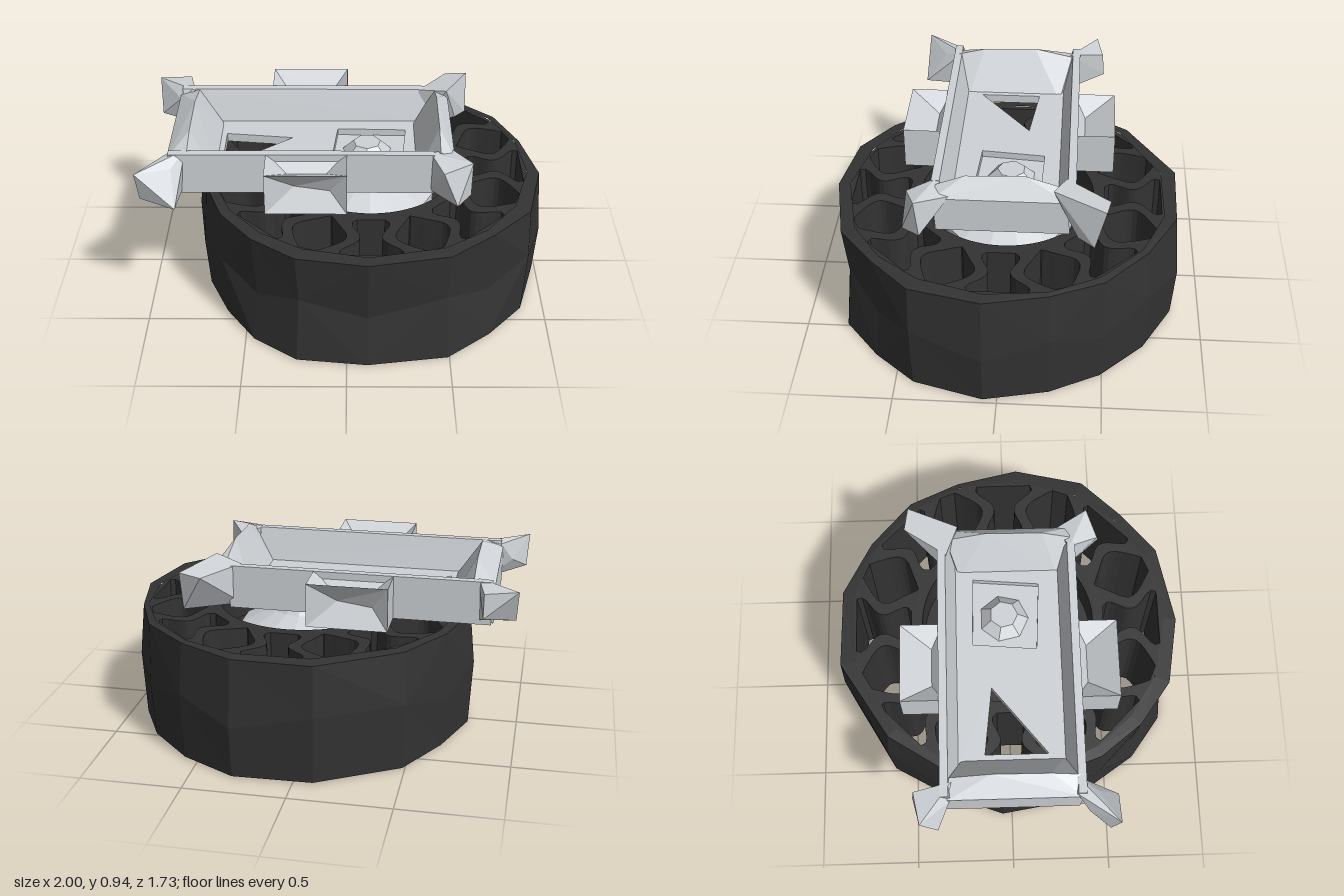
import * as THREE from 'three';
import { ConvexGeometry } from 'three/addons/geometries/ConvexGeometry.js';

const rubber = new THREE.MeshStandardMaterial({ color: 0x333333 });
rubber.name = 'dark rubber';
const metal = new THREE.MeshStandardMaterial({ color: 0xcfd3d7, side: THREE.DoubleSide });
metal.name = 'pale metal';
const CX = 0.115; // wheel centre

function add(parent, name, geo, mat) {
  const m = new THREE.Mesh(geo, mat);
  m.name = name;
  parent.add(m);
  return m;
}

// Faceted solid around a few corner points
const hull = (pts) => new ConvexGeometry(pts.map((p) => new THREE.Vector3(...p)));

// Flat geometry from points and triangles
function facets(pts, tris) {
  const g = new THREE.BufferGeometry();
  g.setAttribute('position', new THREE.Float32BufferAttribute(tris.flat().flatMap((i) => pts[i]), 3));
  g.computeVertexNormals();
  return g;
}

// Extrude a plan (x, z) shape downward from the given top
function slab(shape, top, depth) {
  const g = new THREE.ExtrudeGeometry(shape, { depth, bevelEnabled: false, curveSegments: 48 });
  return g.rotateX(Math.PI / 2).translate(0, top, 0);
}

// Uneven polygonal tyre made of stacked rings
function tyreGeometry() {
  const plan = [[-0.1, -0.86], [0.3, -0.87], [0.58, -0.72], [0.8, -0.5], [0.93, -0.25], [1, 0.07],
    [0.9, 0.42], [0.72, 0.63], [0.5, 0.81], [0.1, 0.87], [-0.25, 0.83], [-0.47, 0.67],
    [-0.62, 0.45], [-0.73, 0.2], [-0.77, -0.05], [-0.66, -0.35], [-0.5, -0.63]];
  const pts = [], tris = [], n = plan.length;
  plan.forEach(([x, z], i) => {
    const dx = x - CX, r = Math.hypot(dx, z), k = 0.8 / r;
    const mid = z > 0.6 ? 0.94 : 1;
    const put = (f, y) => pts.push([CX + dx * f, y, z * f]);
    put(k, 0.015);
    put(0.98, 0.02);
    put(mid, i % 2 ? 0.28 : 0.36);
    put(i % 3 ? 0.97 : 0.99, 0.62);
    put(k, 0.625);
    const a = i * 5, b = ((i + 1) % n) * 5;
    for (let j = 0; j < 4; j++) {
      const p = a + j, q = b + j;
      if ((i + j) % 2) tris.push([p, p + 1, q], [p + 1, q + 1, q]);
      else tris.push([p, p + 1, q + 1], [p, q + 1, q]);
    }
  });
  return facets(pts, tris);
}

// Wavy-spoked core: a ring with sixteen windows
function coreGeometry() {
  const N = 16, r0 = 0.495, r1 = 0.785, half = 0.032;
  const shape = new THREE.Shape().absarc(CX, 0, 0.8, 0, Math.PI * 2, false);
  shape.holes.push(new THREE.Path().absarc(CX, 0, 0.435, 0, Math.PI * 2, true));
  const spokeAngle = (i, t) => -Math.PI / 2 + ((i + 0.5) * 2 * Math.PI) / N
    + (i % 2 ? 1 : -1) * 0.065 * Math.sin(t * Math.PI * 2 - Math.PI / 2);
  for (let i = 0; i < N; i++) {
    const pts = [];
    const side = (k, s, t) => {
      const r = r0 + (r1 - r0) * t;
      const flare = 0.03 * Math.pow(Math.abs(2 * t - 1), 6); // rounded window corners
      const a = spokeAngle(k, t) + (s * (half + flare)) / r;
      pts.push(new THREE.Vector2(CX + r * Math.cos(a), r * Math.sin(a)));
    };
    for (let j = 0; j <= 12; j++) side(i, 1, j / 12);
    for (let j = 12; j >= 0; j--) side(i + 1, -1, j / 12);
    shape.holes.push(new THREE.Path(pts));
  }
  return slab(shape, 0.62, 0.6);
}

// Square side lug with a dented top and outer face
function lugGeometry() {
  const [x0, x1, y0, y1, z0, z1] = [-0.39, 0, 0.68, 0.895, 0.32, 0.53];
  const pts = [[x0, y0, z0], [x1, y0, z0], [x1, y0, z1], [x0, y0, z1],
    [x0, y1, z0], [x1, y1, z0], [x1, y1, z1], [x0, y1, z1],
    [-0.29, 0.81, 0.38], [-0.1, 0.81, 0.38], [-0.25, 0.8, 0.47], [-0.08, 0.78, 0.48]];
  return facets(pts, [[0, 1, 2], [0, 2, 3], [1, 5, 6], [1, 6, 2], [0, 3, 7], [0, 7, 4],
    [7, 8, 4], [8, 9, 4], [9, 5, 4], [9, 6, 5], [7, 6, 8], [6, 9, 8],
    [3, 2, 11], [3, 11, 10], [2, 6, 11], [6, 7, 10], [6, 10, 11], [7, 3, 10]]);
}

export function createModel() {
  const model = new THREE.Group();
  const wheel = new THREE.Group();
  wheel.name = 'wheel';
  const frame = new THREE.Group();
  frame.name = 'frame';
  model.add(wheel, frame);

  // Wheel
  add(wheel, 'tyre', tyreGeometry(), rubber);
  add(wheel, 'spokedCore', coreGeometry(), rubber);
  add(wheel, 'hubPlate', new THREE.CylinderGeometry(0.44, 0.44, 0.3, 32).translate(CX, 0.27, 0), rubber);

  // Mount between hub and frame
  const dish = [[0, 0.42], [0.33, 0.42], [0.33, 0.5], [0.16, 0.58], [0.12, 0.62], [0.2, 0.69], [0, 0.69]];
  const dishGeo = new THREE.LatheGeometry(dish.map((p) => new THREE.Vector2(...p)), 14).toNonIndexed();
  dishGeo.computeVertexNormals();
  add(frame, 'mount', dishGeo.translate(CX, 0, 0), metal);

  // Floor with its triangular opening and square well
  const poly = (C, pts) => new C(pts.map((p) => new THREE.Vector2(...p)));
  const floor = poly(THREE.Shape, [[-0.8, -0.32], [0.42, -0.32], [0.42, 0.33], [-0.8, 0.33]]);
  floor.holes.push(poly(THREE.Path, [[-0.62, -0.13], [-0.62, 0.18], [-0.28, -0.09]]));
  floor.holes.push(poly(THREE.Path, [[-0.05, -0.18], [-0.08, 0.14], [0.27, 0.16], [0.3, -0.17]]));
  add(frame, 'floor', slab(floor, 0.73, 0.045), metal);
  add(frame, 'wellFloor', new THREE.BoxGeometry(0.42, 0.012, 0.4).translate(0.11, 0.689, -0.01), metal);

  // Axle nut in the well
  const nut = new THREE.CylinderGeometry(0.07, 0.13, 0.06, 7).toNonIndexed();
  nut.computeVertexNormals();
  add(frame, 'axleNut', nut.translate(0.1, 0.72, -0.02), metal);

  // Long side walls with sloping inner faces, and lugs
  for (const s of [1, -1]) {
    const wall = [];
    for (const [y, z] of [[0.68, 0.345], [0.895, 0.345], [0.895, 0.305], [0.73, 0.26], [0.68, 0.26]])
      wall.push([-0.86, y, s * z], [0.42, y, s * z]);
    add(frame, s > 0 ? 'frontWall' : 'backWall', hull(wall), metal);
    const lug = add(frame, s > 0 ? 'frontLug' : 'backLug', lugGeometry(), metal);
    if (s < 0) {
      lug.rotation.y = Math.PI;
      lug.position.x = -0.39;
    }
  }

  // Arched end walls
  const endWall = (xo, xi, xb, peak) => hull([
    [xo, 0.68, 0.32], [xo, 0.68, -0.32], [xo, 0.86, 0.33], [xo, 0.86, -0.31],
    [xi, 0.895, 0.32], [xi, 0.895, -0.3], [xi, peak - 0.01, 0.18], [xi, peak, -0.1],
    [xb, 0.7, 0.26], [xb, 0.7, -0.24]]);
  add(frame, 'rightEndWall', endWall(-0.87, -0.77, -0.63, 0.94), metal);
  add(frame, 'leftEndWall', endWall(0.52, 0.45, 0.33, 0.96), metal);

  // Pointed corner ears
  const ears = {
    rightFrontEar: [[-1, 0.88, 0.5], [-0.99, 0.72, 0.46], [-0.82, 0.69, 0.51], [-0.84, 0.85, 0.4],
      [-0.92, 0.78, 0.36], [-0.8, 0.69, 0.32], [-0.78, 0.895, 0.3], [-0.86, 0.88, 0.3]],
    rightBackEar: [[-0.99, 0.89, -0.44], [-0.98, 0.72, -0.36], [-0.83, 0.76, -0.48], [-0.83, 0.88, -0.47],
      [-0.8, 0.69, -0.31], [-0.79, 0.895, -0.29], [-0.87, 0.84, -0.3]],
    leftFrontEar: [[0.6, 0.89, 0.41], [0.6, 0.7, 0.39], [0.53, 0.69, 0.48], [0.46, 0.86, 0.46],
      [0.4, 0.69, 0.33], [0.4, 0.895, 0.32], [0.51, 0.87, 0.25]],
    leftBackEar: [[0.63, 0.895, -0.49], [0.63, 0.69, -0.44], [0.52, 0.88, -0.51], [0.57, 0.7, -0.36],
      [0.37, 0.69, -0.3], [0.37, 0.895, -0.3], [0.51, 0.92, -0.24]],
  };
  for (const [name, pts] of Object.entries(ears)) add(frame, name, hull(pts), metal);

  return model;
}
